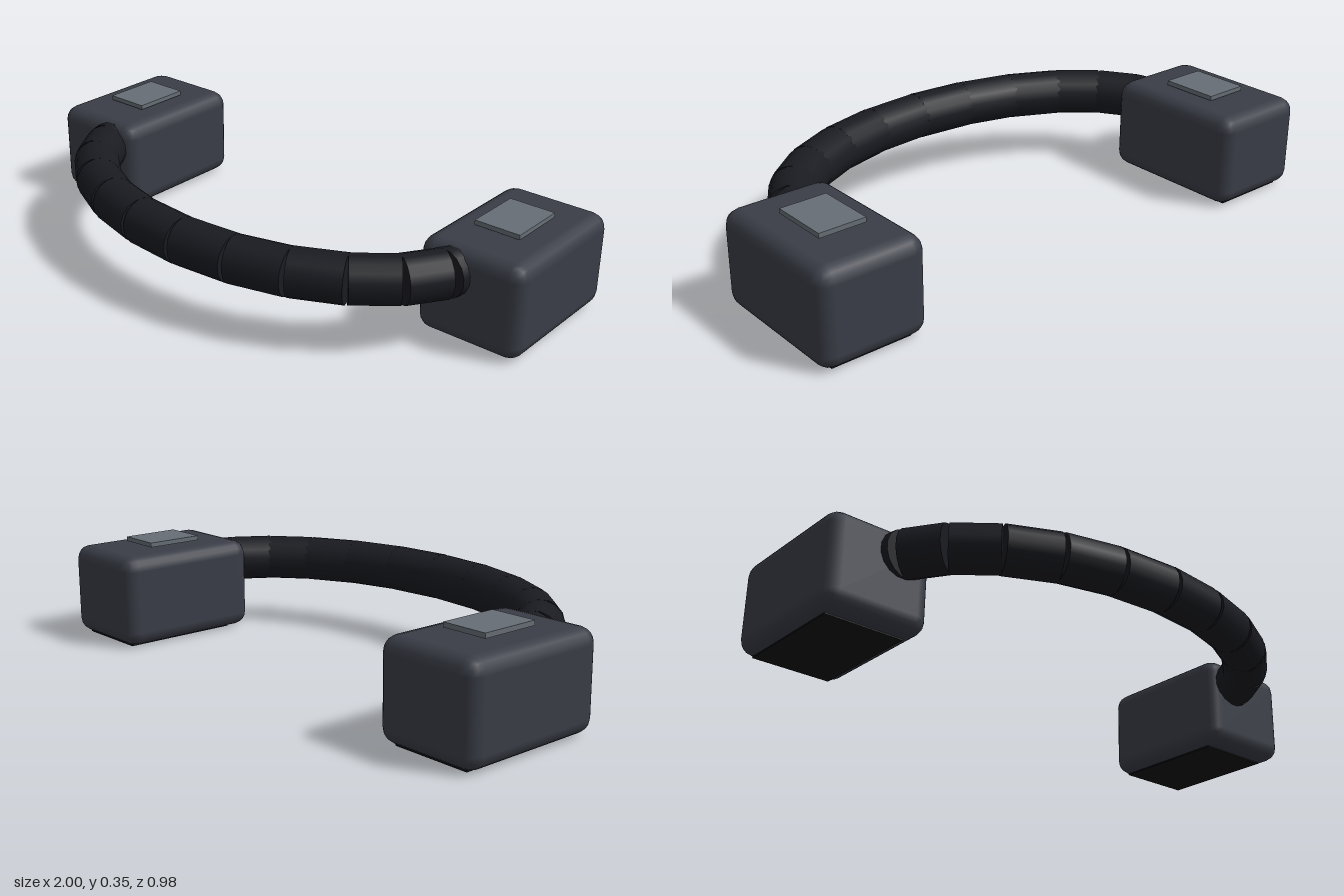
import * as THREE from 'three';
import { RoundedBoxGeometry } from 'three/addons/geometries/RoundedBoxGeometry.js';

export function createModel() {
  const group = new THREE.Group();
  const material = (color) => new THREE.MeshStandardMaterial({ color });
  const shellMat = material(0x3a3d47);
  const plateMat = material(0x666e75);
  const bandMat = material(0x1a1b21);
  const padMat = material(0x111216);

  const add = (parent, name, geometry, mat, x, y, z) => {
    const mesh = new THREE.Mesh(geometry, mat);
    mesh.name = name;
    mesh.position.set(x, y, z);
    parent.add(mesh);
    return mesh;
  };

  // Two rounded housings, each with a top plate and a bottom pad
  for (const [side, s] of [['left', 1], ['right', -1]]) {
    const unit = new THREE.Group();
    unit.name = side + 'Unit';
    add(unit, side + 'Housing', new RoundedBoxGeometry(0.368, 0.321, 0.53, 2, 0.05), shellMat, s * 0.816, 0.1645, -0.23);
    add(unit, side + 'TopPlate', new THREE.BoxGeometry(0.16, 0.016, 0.205), plateMat, s * 0.81, 0.341, -0.228);
    add(unit, side + 'BottomPad', new THREE.BoxGeometry(0.275, 0.02, 0.42), padMat, s * 0.816, 0.01, -0.25);
    group.add(unit);
  }

  // Curved band of straight cylinder segments along half an ellipse
  const band = new THREE.Group();
  band.name = 'band';
  const count = 12;
  const up = new THREE.Vector3(0, 1, 0);
  const joint = (i) => {
    const t = (i / count - 0.5) * Math.PI;
    return new THREE.Vector3(0.77 * Math.sin(t), 0.238, 0.49 * Math.cos(t) - 0.082);
  };
  for (let i = 0; i < count; i++) {
    const a = joint(i);
    const b = joint(i + 1);
    const dir = b.clone().sub(a);
    const mid = a.clone().add(b).multiplyScalar(0.5);
    const segment = add(band, 'bandSegment' + (i + 1),
      new THREE.CylinderGeometry(0.08, 0.08, dir.length(), 16), bandMat, mid.x, mid.y, mid.z);
    segment.quaternion.setFromUnitVectors(up, dir.normalize());
  }
  group.add(band);
  return group;
}
